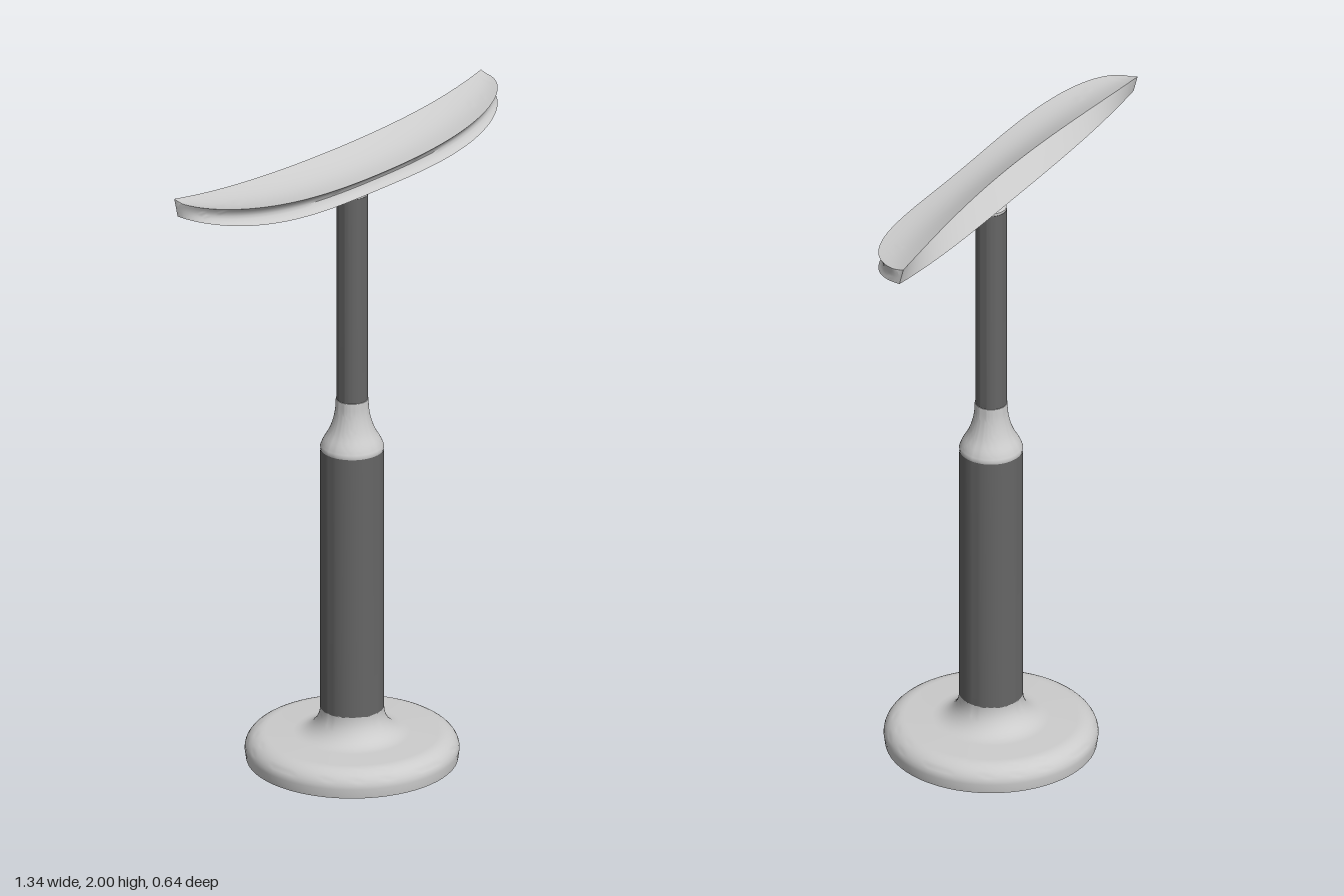
import * as THREE from 'three';
import { toCreasedNormals } from 'three/addons/utils/BufferGeometryUtils.js';

const grey = new THREE.MeshStandardMaterial({ color: 0xcccccc });
const dark = new THREE.MeshStandardMaterial({ color: 0x666666 });

function part(name, geometry, material = grey) {
  const mesh = new THREE.Mesh(geometry, material);
  mesh.name = name;
  return mesh;
}

// Turned part from [radius, height] pairs, bottom to top
function turned(name, points, material) {
  const geo = new THREE.LatheGeometry(points.map(([r, y]) => new THREE.Vector2(r, y)), 64);
  return part(name, toCreasedNormals(geo, 0.6), material);
}

// Quarter ellipse points from angle a to b around (r, y)
function arc(r, y, rx, ry, a, b, n = 8) {
  return Array.from({ length: n + 1 }, (_, i) => {
    const t = a + ((b - a) * i) / n;
    return [r + rx * Math.cos(t), y + ry * Math.sin(t)];
  });
}

// Cross-section of the head at u = -1..1 along its length, as [z, y] pairs
function headSection(u) {
  const a = Math.abs(u);
  const front = -0.085 + 0.197 * Math.sqrt(Math.max(0, 1 - a ** 3.2));
  const w = (front + 0.085) / 0.197;
  const A = [-0.045 - 0.063 * a ** 2, 1.979 + 0.018 * a ** 4]; // upper back edge
  const B = [front, 1.935 + 0.055 * a ** 2];                   // upper front lip
  const C = [front, 1.884 + 0.06 * a ** 3];                    // lower front lip
  const D = [-0.102 + 0.008 * a ** 4, 1.922 + 0.022 * a ** 3]; // lower back edge
  const pts = [];
  const run = (p, q, n, dz, dy) => {
    for (let i = 0; i < n; i++) {
      const t = i / n, s = Math.sin(Math.PI * t);
      pts.push([p[0] + (q[0] - p[0]) * t + dz * s, p[1] + (q[1] - p[1]) * t + dy * s]);
    }
  };
  run(A, B, 8, 0, -0.014 * w);          // dished top
  run(B, C, 6, -0.008 - 0.014 * w, 0);  // grooved front wall
  run(C, D, 8, 0, -0.006 * w);          // rounded underside
  run(D, A, 4, 0, 0);                   // sloping back wall
  return pts;
}

function headGeometry() {
  const N = 72, half = 0.672, pos = [], idx = [];
  let m = 0;
  for (let i = 0; i <= N; i++) {
    const u = Math.sin((i / N - 0.5) * Math.PI);
    const section = headSection(u);
    m = section.length;
    for (const [z, y] of section) pos.push(u * half, y, z);
  }
  for (let i = 0; i < N; i++) {
    for (let j = 0; j < m; j++) {
      const a = i * m + j, b = i * m + ((j + 1) % m);
      idx.push(a, b, a + m, b, b + m, a + m);
    }
  }
  // Narrow end faces
  for (const [ring, flip] of [[0, true], [N, false]]) {
    const c = pos.length / 3;
    const section = headSection(1);
    const mean = (k) => section.reduce((s, p) => s + p[k], 0) / m;
    pos.push(ring ? half : -half, mean(1), mean(0));
    for (let j = 0; j < m; j++) {
      const a = ring * m + j, b = ring * m + ((j + 1) % m);
      idx.push(c, flip ? b : a, flip ? a : b);
    }
  }
  const geo = new THREE.BufferGeometry();
  geo.setAttribute('position', new THREE.Float32BufferAttribute(pos, 3));
  geo.setIndex(idx);
  return toCreasedNormals(geo, 0.6);
}

export function createModel() {
  const model = new THREE.Group();
  model.name = 'pedestalStand';
  const H = Math.PI / 2;

  // Round foot: rolled rim, flat shoulder, sweep up to the column
  model.add(turned('base', [
    [0, 0], [0.318, 0],
    ...arc(0.26, 0.03, 0.062, 0.053, 0, H),
    ...arc(0.175, 0.163, 0.079, 0.08, -H, -Math.PI),
    [0.096, 0.167], [0, 0.167],
  ]));

  // Lower and upper column tubes
  model.add(turned('lowerColumn', [[0.096, 0.165], [0.096, 1.008]], dark));
  model.add(turned('upperColumn', [[0.047, 1.165], [0.047, 1.838], [0, 1.838]], dark));

  // Flared sleeve between the tubes
  const flare = new THREE.CatmullRomCurve3([
    [0.096, 1.015], [0.088, 1.035], [0.07, 1.067], [0.058, 1.1], [0.051, 1.135], [0.049, 1.17],
  ].map(([r, y]) => new THREE.Vector3(r, y, 0)));
  model.add(turned('columnSleeve', [
    [0.094, 1.005], ...flare.getPoints(16).map((p) => [p.x, p.y]), [0.046, 1.17],
  ]));

  // Swivel neck: collar, core and tilted rings
  model.add(turned('neckCollar', [
    [0.046, 1.836], [0.046, 1.846], [0.041, 1.852], [0.036, 1.855], [0.036, 1.91], [0, 1.91],
  ]));
  for (const y of [1.865, 1.882]) {
    const ring = part('neckRing', new THREE.TorusGeometry(0.037, 0.007, 10, 48));
    ring.position.y = y;
    ring.rotation.x = H + 0.1;
    model.add(ring);
  }

  // Dished head, turned very slightly on the neck
  const head = part('head', headGeometry());
  head.rotation.y = -0.014;
  head.rotation.z = -0.004;
  model.add(head);

  return model;
}
